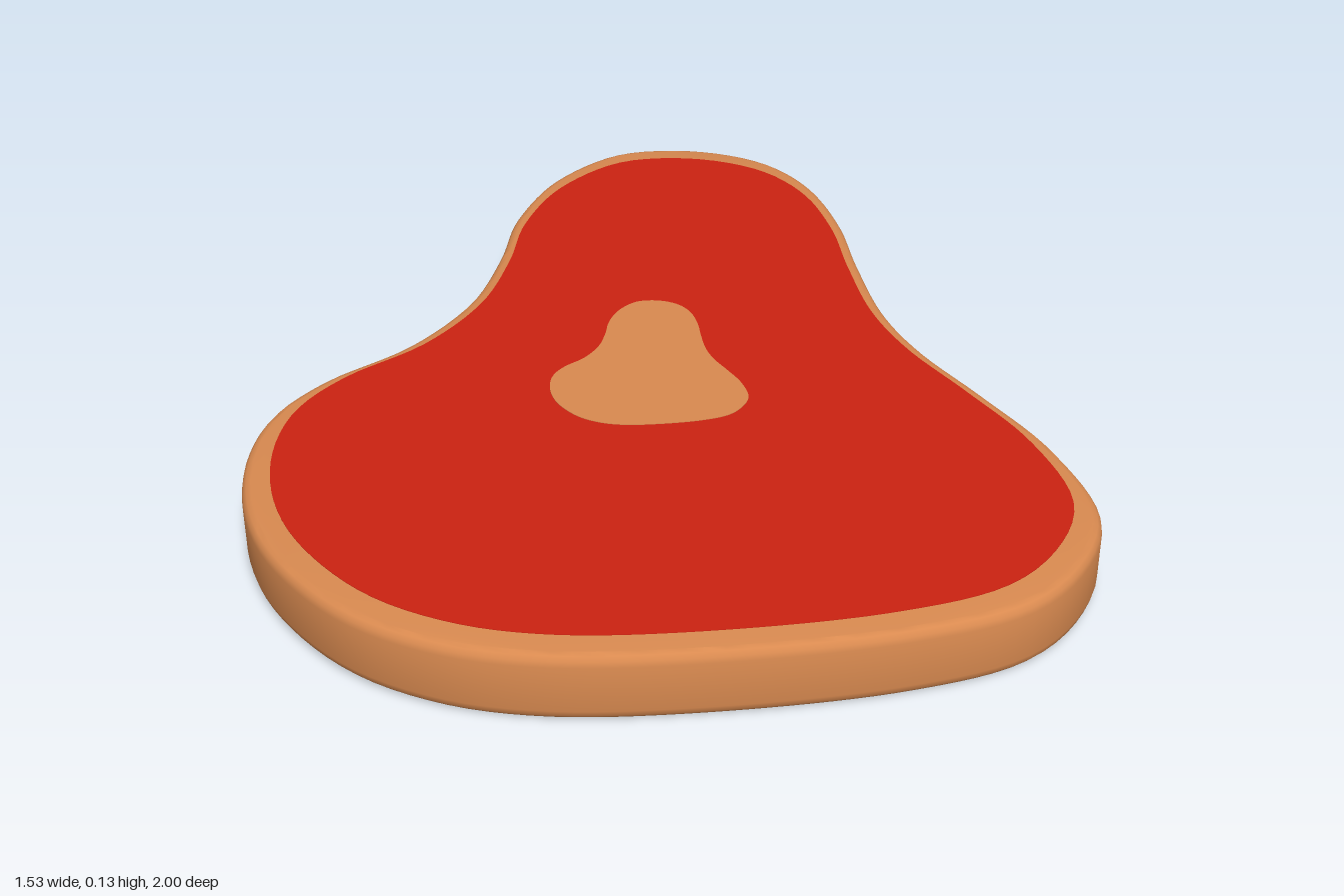
import * as THREE from 'three';
import { toCreasedNormals } from 'three/addons/utils/BufferGeometryUtils.js';

const HEIGHT = 0.13;
const SEGMENTS = 160;

// Steak outline seen from above, as [x, z]
const OUTLINE = [
  [-0.065, -1], [-0.2, -0.965], [-0.33, -0.81], [-0.395, -0.6], [-0.408, -0.4],
  [-0.445, -0.19], [-0.54, 0], [-0.68, 0.15], [-0.75, 0.28], [-0.765, 0.43],
  [-0.73, 0.6], [-0.65, 0.75], [-0.5, 0.9], [-0.34, 0.975], [-0.18, 1],
  [0.04, 0.985], [0.42, 0.905], [0.62, 0.815], [0.72, 0.69], [0.762, 0.54],
  [0.7, 0.325], [0.59, 0.14], [0.48, -0.03], [0.41, -0.19], [0.36, -0.41],
  [0.325, -0.61], [0.26, -0.8], [0.17, -0.92], [0.065, -0.98],
];

// Outline scaled and moved; shape y becomes -z once laid flat
function outlinePoints(scale = 1, dx = 0, dz = 0) {
  const curve = new THREE.CatmullRomCurve3(
    OUTLINE.map(([x, z]) => new THREE.Vector3(x * scale + dx, -z * scale - dz, 0)), true);
  return curve.getSpacedPoints(SEGMENTS).slice(0, -1).map((p) => new THREE.Vector2(p.x, p.y));
}

// Flat-lying slab from y0 to y1 with an optional bevel on its edges
function slab(name, color, points, y0, y1, bevel = 0) {
  const geometry = new THREE.ExtrudeGeometry(new THREE.Shape(points), {
    depth: y1 - y0 - 2 * bevel,
    bevelEnabled: bevel > 0,
    bevelThickness: bevel,
    bevelSize: bevel * 0.85,
    bevelOffset: -bevel * 0.85,
    bevelSegments: 3,
  });
  geometry.translate(0, 0, y0 + bevel);
  geometry.rotateX(-Math.PI / 2);
  const mesh = new THREE.Mesh(
    toCreasedNormals(geometry, 0.6), new THREE.MeshStandardMaterial({ color }));
  mesh.name = name;
  return mesh;
}

export function createModel() {
  const steak = new THREE.Group();
  steak.name = 'steak';
  const fat = 0xd98a50;

  // Each inner layer stands a hair proud of the one around it, above and below
  steak.add(
    slab('fatRim', fat, outlinePoints(), 0.002, HEIGHT - 0.002, 0.02),
    slab('meat', 0xcc2211, outlinePoints(0.94), 0.001, HEIGHT - 0.001),
    slab('bone', fat, outlinePoints(0.25, -0.05, 0.04), 0, HEIGHT),
  );
  return steak;
}
